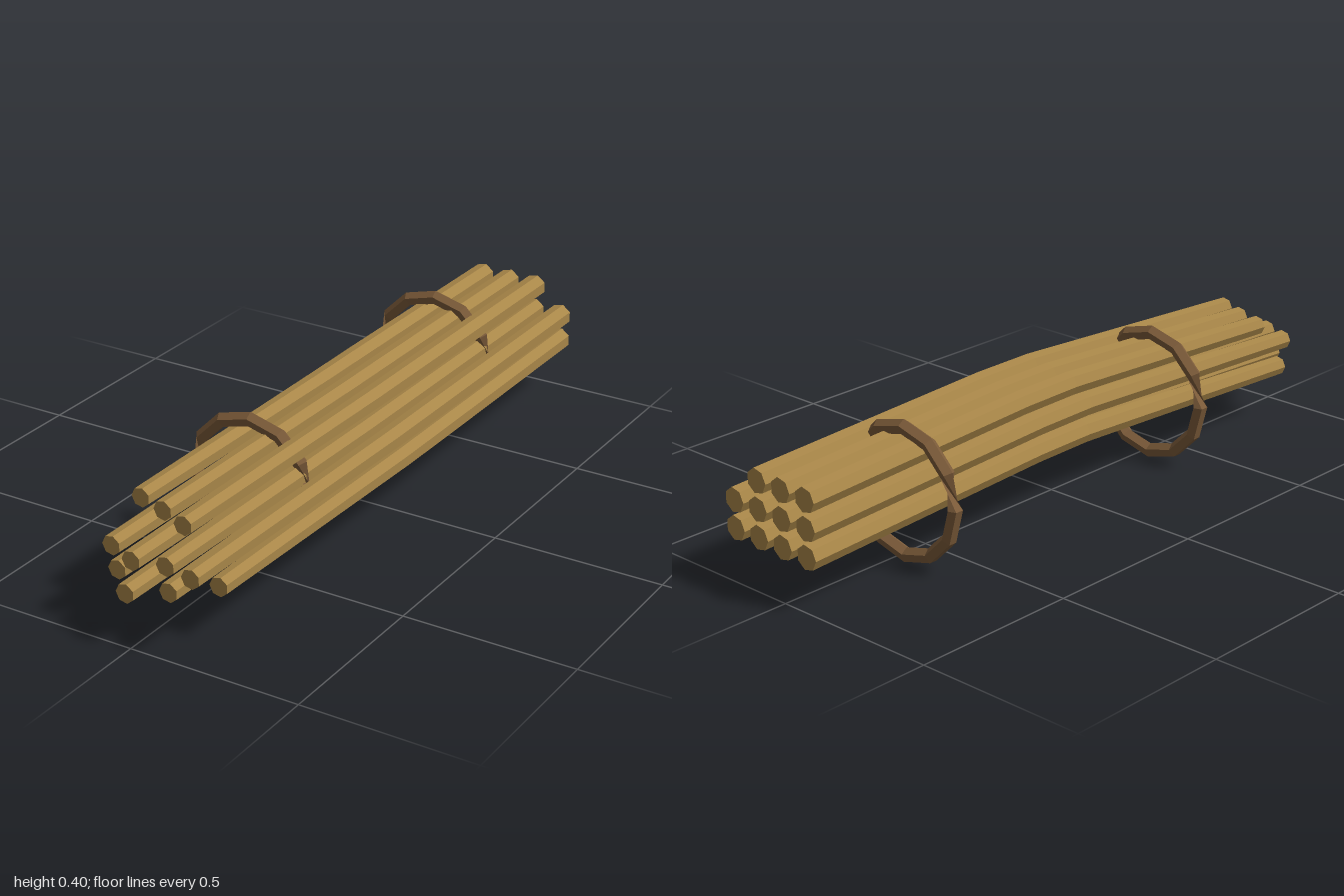
import * as THREE from 'three';

const SIDES = 7;      // sides of each stick
const BAND_SIDES = 5; // sides of each binding ring

// Skin a list of equal-sized cross-sections, either capped or closed into a loop
function loft(rings, closed) {
  const n = rings[0].length;
  const pos = [];
  const tri = (...pts) => pts.forEach((p) => pos.push(p.x, p.y, p.z));
  const spans = closed ? rings.length : rings.length - 1;
  for (let i = 0; i < spans; i++) {
    const r = rings[i];
    const s = rings[(i + 1) % rings.length];
    for (let j = 0; j < n; j++) {
      const k = (j + 1) % n;
      tri(r[j], r[k], s[k]);
      tri(r[j], s[k], s[j]);
    }
  }
  if (!closed) {
    const first = rings[0];
    const last = rings[rings.length - 1];
    for (let j = 1; j < n - 1; j++) {
      tri(first[0], first[j + 1], first[j]);
      tri(last[0], last[j], last[j + 1]);
    }
  }
  const geo = new THREE.BufferGeometry();
  geo.setAttribute('position', new THREE.Float32BufferAttribute(pos, 3));
  geo.computeVertexNormals();
  return geo;
}

// One tapered stick, bowed up and sideways around its middle
function stickGeometry(col, row, frontZ) {
  const x = col * 0.09;
  const y = row * 0.0785;
  const mid = (frontZ - 1) / 2;
  const stations = [
    [-0.088, 0.156, -1, 0.0355],
    [-0.064, 0.179, mid - 0.1, 0.0348],
    [-0.063, 0.180, mid + 0.1, 0.034],
    [-0.101, 0.156, frontZ, 0.028],
  ];
  return loft(stations.map(([cx, cy, z, r]) => {
    const ring = [];
    for (let j = 0; j < SIDES; j++) {
      const a = Math.PI + (j / SIDES) * Math.PI * 2;
      ring.push(new THREE.Vector3(x + cx + r * Math.cos(a), y + cy + r * Math.sin(a), z));
    }
    return ring;
  }), false);
}

// Twelve-sided ring whose lower half has its section turned over, twisting at both sides
function bandGeometry() {
  const R = 0.182;
  const r = 0.021;
  const rings = [];
  for (let i = 0; i < 12; i++) {
    const a = (i / 12) * Math.PI * 2;
    const turn = i >= 1 && i <= 5 ? 0 : Math.PI;
    const ring = [];
    for (let j = 0; j < BAND_SIDES; j++) {
      const p = turn + (j / BAND_SIDES) * Math.PI * 2;
      const d = R + r * Math.cos(p);
      ring.push(new THREE.Vector3(d * Math.cos(a), d * Math.sin(a), -r * Math.sin(p)));
    }
    rings.push(ring);
  }
  return loft(rings, true);
}

export function createModel() {
  const model = new THREE.Group();
  model.name = 'stickBundle';
  const wood = new THREE.MeshStandardMaterial({ color: 0xa88648, flatShading: true });
  const bark = new THREE.MeshStandardMaterial({ color: 0x7d5c3a, flatShading: true });

  // Sticks stacked in rows, with uneven front ends
  const frontEnds = [
    [0.91, 1.0, 0.94, 0.85],
    [0.93, 0.97, 0.95, 0.97],
    [0.8, 0.83, 0.87],
  ];
  const sticks = new THREE.Group();
  sticks.name = 'sticks';
  frontEnds.forEach((ends, row) => ends.forEach((z, col) => {
    const stick = new THREE.Mesh(stickGeometry(col, row, z), wood);
    stick.name = `stick${row + 1}_${col + 1}`;
    sticks.add(stick);
  }));
  model.add(sticks);

  // Two binding rings
  const bandGeo = bandGeometry();
  [['frontBinding', 0.385], ['backBinding', -0.608]].forEach(([name, z]) => {
    const band = new THREE.Mesh(bandGeo, bark);
    band.name = name;
    band.position.set(-0.04, 0.2, z);
    model.add(band);
  });
  return model;
}
